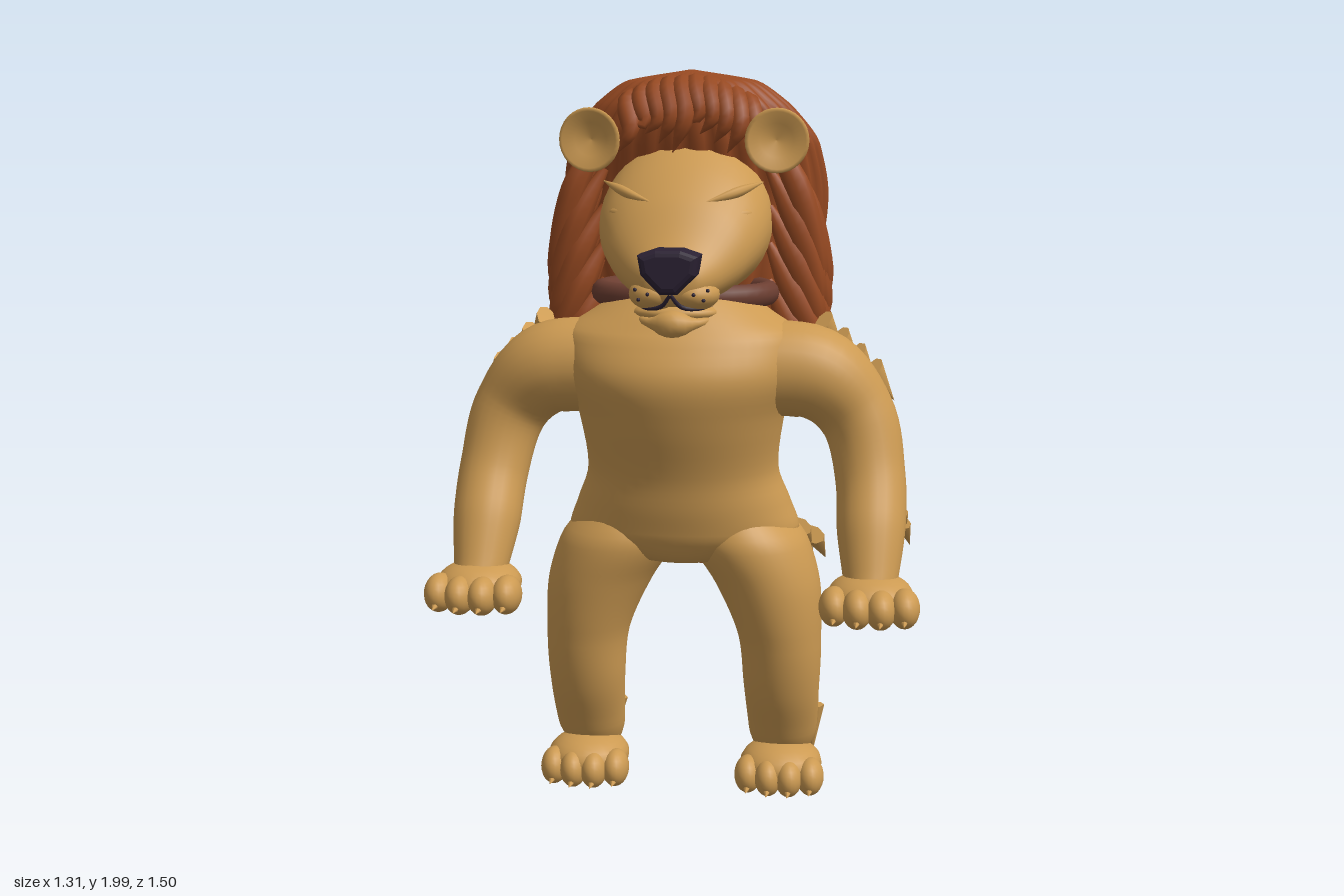
import * as THREE from 'three';
import { mergeVertices } from 'three/addons/utils/BufferGeometryUtils.js';

const V = (x, y, z) => new THREE.Vector3(x, y, z);
const mat = (name, color) => {
  const m = new THREE.MeshStandardMaterial({ color });
  m.name = name;
  return m;
};

// Smooth skin through elliptical sections [x, y, z, rx, r2], rising along y or z
function loft(sections, { axis = 'y', n = 40, rings = 40, ridge = () => 1 } = {}) {
  const centre = new THREE.CatmullRomCurve3(sections.map(s => V(s[0], s[1], s[2])));
  const radius = new THREE.CatmullRomCurve3(sections.map(s => V(s[3], s[4], 0)));
  const pos = [], index = [];
  for (let i = 0; i <= rings; i++) {
    const c = centre.getPoint(i / rings), r = radius.getPoint(i / rings);
    for (let j = 0; j < n; j++) {
      const a = (j / n) * Math.PI * 2, k = ridge(a);
      const u = Math.cos(a) * Math.max(r.x, 0.001) * k, v = Math.sin(a) * Math.max(r.y, 0.001) * k;
      if (axis === 'y') pos.push(c.x + u, c.y, c.z - v);
      else pos.push(c.x + u, c.y + v, c.z);
      if (i < rings) {
        const p = i * n + j, q = i * n + (j + 1) % n;
        index.push(p, q, p + n, q, q + n, p + n);
      }
    }
  }
  const g = new THREE.BufferGeometry();
  g.setAttribute('position', new THREE.Float32BufferAttribute(pos, 3));
  g.setIndex(index);
  g.computeVertexNormals();
  return g;
}

// Tube through points whose radius follows a list of values
function sweep(points, radii, segs = 20, sides = 12) {
  const curve = new THREE.CatmullRomCurve3(points.map(p => V(...p)));
  const radius = new THREE.CatmullRomCurve3(radii.map(r => V(r, 0, 0)));
  let g = new THREE.TubeGeometry(curve, segs, 1, sides);
  const p = g.attributes.position, v = V(0, 0, 0);
  for (let i = 0; i < p.count; i++) {
    const t = Math.floor(i / (sides + 1)) / segs, c = curve.getPointAt(t);
    const r = Math.max(radius.getPoint(t).x, 0.0008);
    v.fromBufferAttribute(p, i).sub(c).multiplyScalar(r).add(c);
    p.setXYZ(i, v.x, v.y, v.z);
  }
  g.deleteAttribute('uv');
  g.deleteAttribute('normal');
  g = mergeVertices(g, 1e-5);
  g.computeVertexNormals();
  return g;
}

export function createModel() {
  const root = new THREE.Group();
  root.name = 'lion';
  const fur = mat('golden fur', 0xcc9a52), mane = mat('mane russet', 0x984a22);
  const dark = mat('nose black', 0x2b2133), brown = mat('dark brown', 0x6c3e31);
  const orange = mat('tail orange', 0xd8693a);

  const add = (name, geo, m = fur) => {
    const mesh = new THREE.Mesh(geo, m);
    mesh.name = name;
    root.add(mesh);
    return mesh;
  };
  const ball = (name, p, r, m = fur) => {
    const b = add(name, new THREE.SphereGeometry(1, 20, 14), m);
    b.position.set(...p);
    b.scale.set(...r);
    return b;
  };
  const spike = (name, p, dir, len, r, flat = 0.6) => {
    const c = add(name, new THREE.ConeGeometry(r, len, 8));
    const d = V(...dir).normalize();
    c.quaternion.setFromUnitVectors(V(0, 1, 0), d);
    c.position.set(...p).addScaledVector(d, len / 2);
    c.scale.z = flat;
  };

  // Torso and head
  add('torso', loft([
    [0, 0.65, 0.335, 0.01, 0.01], [0, 0.68, 0.335, 0.17, 0.14], [0, 0.75, 0.33, 0.32, 0.19],
    [0, 0.83, 0.335, 0.295, 0.205], [0, 0.93, 0.355, 0.262, 0.205], [0, 1.08, 0.385, 0.28, 0.225],
    [0, 1.2, 0.4, 0.32, 0.23], [0, 1.3, 0.385, 0.32, 0.2], [0, 1.36, 0.37, 0.24, 0.17],
    [0, 1.42, 0.35, 0.15, 0.13], [0, 1.46, 0.35, 0.01, 0.01]], { n: 48, rings: 50 }));
  add('head', loft([
    [0, 1.6, 0.08, 0.01, 0.01], [0, 1.6, 0.15, 0.2, 0.18], [0, 1.59, 0.27, 0.235, 0.215],
    [0, 1.565, 0.37, 0.225, 0.18], [0, 1.52, 0.46, 0.185, 0.14], [0, 1.47, 0.54, 0.12, 0.085],
    [0, 1.455, 0.59, 0.07, 0.05], [0, 1.455, 0.605, 0.005, 0.005]], { axis: 'z' }));
  ball('chin', [0, 1.368, 0.49], [0.115, 0.03, 0.075]);
  add('lowerLip', sweep([[-0.12, 1.36, 0.47], [-0.06, 1.345, 0.55], [0.06, 1.345, 0.55], [0.12, 1.36, 0.47]], [0.004, 0.014, 0.014, 0.004]));
  const collar = add('collar', new THREE.TorusGeometry(0.22, 0.03, 12, 40), brown);
  collar.rotation.x = Math.PI / 2;
  collar.position.set(0, 1.4, 0.31);
  collar.scale.set(1.03, 0.72, 1.1);

  // Nose: bevelled shield
  const shield = new THREE.Shape([[-0.06, 0.035], [-0.03, 0.045], [0.03, 0.045], [0.06, 0.035],
    [0.055, 0.005], [0.015, -0.035], [-0.015, -0.035], [-0.055, 0.005]].map(p => new THREE.Vector2(...p)));
  add('nose', new THREE.ExtrudeGeometry(shield, {
    depth: 0.06, bevelSize: 0.018, bevelThickness: 0.022, bevelSegments: 3 }), dark).position.set(0, 1.482, 0.575);

  // Mane: ridged shell, fringe and side locks
  add('maneShell', loft([
    [0, 1.03, 0.1, 0.06, 0.045], [0, 1.12, 0.105, 0.17, 0.095], [0, 1.25, 0.095, 0.27, 0.145],
    [0, 1.45, 0.08, 0.345, 0.19], [0, 1.65, 0.08, 0.37, 0.2], [0, 1.8, 0.115, 0.345, 0.205],
    [0, 1.9, 0.145, 0.27, 0.185], [0, 1.965, 0.16, 0.18, 0.13], [0, 1.995, 0.17, 0.005, 0.005]],
  { n: 160, rings: 50, ridge: a => 0.97 + 0.045 * Math.abs(Math.sin(a * 16)) }), mane);
  const base = add('maneUnderside', new THREE.CircleGeometry(1, 24), mane);
  base.rotation.x = Math.PI / 2;
  base.scale.set(0.06, 0.045, 1);
  base.position.set(0, 1.031, 0.1);
  for (let k = 0; k < 10; k++) {
    const x = -0.16 + 0.037 * k, tip = 1.775 + 0.025 * ((k * 3) % 4);
    const drop = 1.6 * x * x;
    add('fringeLock', sweep([[x * 0.7, 1.972 - drop, 0.18], [x, 1.945 - drop, 0.28],
      [x + 0.015, 1.875 - drop, 0.325], [x - 0.02, tip, 0.325]], [0.008, 0.03, 0.028, 0.001], 14, 8), mane);
  }

  // Tail and its split, faceted tuft
  add('tail', sweep([[0.02, 0.71, 0.11], [0.035, 0.65, -0.05], [0.038, 0.58, -0.25], [0.015, 0.5, -0.45]],
    [0.052, 0.052, 0.052, 0.05], 20, 16)).material = fur;
  ball('tailRoot', [0.02, 0.71, 0.11], [0.052, 0.052, 0.05]);
  const tuftPart = (name, m, stations) => {
    const pos = [], idx = [];
    stations.forEach(([z, y, x0, x1, h], i) => {
      const xm = x0 + (x1 - x0) * 0.35;
      [[x0, y - h], [xm, y - h], [x1, y], [xm, y + h], [x0, y + h]].forEach(([x, yy]) => pos.push(x, yy, z));
      if (i) for (let j = 0; j < 5; j++) {
        const a = (i - 1) * 5 + j, b = (i - 1) * 5 + (j + 1) % 5;
        idx.push(a, a + 5, b, b, a + 5, b + 5);
      }
    });
    const end = (stations.length - 1) * 5;
    for (let j = 1; j < 4; j++) idx.push(0, j, j + 1, end, end + j + 1, end + j);
    let g = new THREE.BufferGeometry();
    g.setAttribute('position', new THREE.Float32BufferAttribute(pos, 3));
    g.setIndex(idx);
    // mirrored parts run the other way round
    if (stations[1][3] < stations[1][2]) for (let i = 0; i < idx.length; i += 3) {
      g.index.setX(i, idx[i + 1]);
      g.index.setX(i + 1, idx[i]);
    }
    g = g.toNonIndexed();
    g.computeVertexNormals();
    add(name, g, m);
  };
  for (const s of [1, -1]) {
    tuftPart('tailTuftSide', orange, [[-0.42, 0.5, 0.015 * s, 0.065 * s, 0.058], [-0.58, 0.46, 0.035 * s, 0.14 * s, 0.07], [-0.75, 0.4, 0.026 * s, 0.034 * s, 0.003]]);
    tuftPart('tailTuftCore', brown, [[-0.42, 0.5, 0, 0.03 * s, 0.055], [-0.58, 0.46, 0, 0.05 * s, 0.064], [-0.74, 0.402, 0.008 * s, 0.03 * s, 0.003]]);
  }

  for (const s of [1, -1]) {
    // Limbs
    add('leg', loft([
      [0.27, 0.06, 0.27, 0.06, 0.05], [0.275, 0.15, 0.29, 0.095, 0.092], [0.275, 0.3, 0.345, 0.105, 0.1],
      [0.27, 0.45, 0.355, 0.115, 0.125], [0.235, 0.6, 0.345, 0.145, 0.16], [0.18, 0.72, 0.335, 0.165, 0.18],
      [0.14, 0.84, 0.33, 0.09, 0.13]].map(a => [a[0] * s, ...a.slice(1)])));
    add('arm', sweep([[0.18, 1.21, 0.4], [0.37, 1.19, 0.385], [0.475, 1.08, 0.375], [0.515, 0.92, 0.42],
      [0.522, 0.78, 0.5], [0.525, 0.66, 0.57]].map(p => [p[0] * s, p[1], p[2]]),
    [0.13, 0.128, 0.105, 0.095, 0.092, 0.07], 36, 24));

    // Paws with toes and claws
    ball('hand', [0.525 * s, 0.635, 0.58], [0.115, 0.065, 0.12]);
    ball('foot', [0.275 * s, 0.075, 0.34], [0.115, 0.065, 0.12]);
    for (let k = 0; k < 4; k++) {
      const o = (k - 1.5) * 0.058, back = Math.abs(k - 1.5) > 1 ? 0.02 : 0;
      ball('finger', [(0.525 + o * 1.05) * s, 0.625, 0.67 - back], [0.04, 0.052, 0.062]);
      spike('fingerClaw', [(0.525 + o * 1.05) * s, 0.605, 0.7 - back], [0, -0.15, 1], 0.05, 0.016, 1);
      ball('toe', [(0.275 + o) * s, 0.058, 0.425 - back], [0.038, 0.052, 0.058]);
      spike('toeClaw', [(0.275 + o) * s, 0.035, 0.45 - back], [0, -0.15, 1], 0.05, 0.016, 1);
    }

    // Dished ear
    const ear = add('ear', new THREE.LatheGeometry([[0, -0.025], [0.05, -0.022], [0.08, 0], [0.086, 0.014],
      [0.076, 0.022], [0.045, 0.004], [0, -0.004]].map(p => new THREE.Vector2(...p)), 32));
    ear.rotation.set(Math.PI / 2, 0, -0.15 * s);
    ear.position.set(0.25 * s, 1.81, 0.345);

    // Face details
    const eye = ball('eyelid', [0.145 * s, 1.612, 0.425], [0.06, 0.021, 0.018]);
    eye.rotation.set(0, 0.6 * s, 0.15 * s);
    add('brow', sweep([[0.075 * s, 1.652, 0.452], [0.14 * s, 1.672, 0.415], [0.215 * s, 1.7, 0.345]], [0.003, 0.014, 0.002], 14, 8));
    ball('cheek', [0.052 * s, 1.42, 0.525], [0.068, 0.045, 0.075]);
    add('mouthLine', sweep([[0, 1.425, 0.603], [0.025 * s, 1.393, 0.588], [0.065 * s, 1.385, 0.567], [0.1 * s, 1.39, 0.53]], [0.005, 0.006, 0.005, 0.002], 12, 6), dark);
    for (const [x, y, z] of [[0.06, 1.425, 0.598], [0.085, 1.41, 0.59], [0.095, 1.435, 0.582]])
      ball('whiskerDot', [x * s, y, z], [0.005, 0.005, 0.005], dark);

    // Side locks of the mane
    for (let k = 0; k < 9; k++) {
      const b = (k % 2) * 0.05;
      add('sideLock', sweep([[0.225 + b * 0.4, 1.83 - 0.05 * k, 0.28 - b], [0.305 + b * 0.4, 1.68 - 0.05 * k, 0.3 - b],
        [0.35 + b * 0.3, 1.5 - 0.04 * k, 0.28 - b], [0.355 - 0.008 * k + b * 0.4, 1.32 - 0.028 * k, 0.24 - b]]
        .map(p => [p[0] * s, p[1], p[2]]), [0.012, 0.036, 0.034, 0.001], 18, 8), mane);
    }

    // Fur tufts on shoulders, elbows, hips and heels
    for (let k = 0; k < 4; k++) {
      spike('shoulderTuft', [(0.38 + 0.045 * k) * s, 1.33 - 0.045 * k, 0.35 - 0.018 * k], [0.45 * s, -0.75, -0.35], 0.12, 0.045);
      if (k < 3) {
        spike('elbowTuft', [(0.585 + 0.008 * k) * s, 0.87 - 0.035 * k, 0.46 - 0.015 * k], [0.25 * s, -0.8, -0.5], 0.09, 0.033);
        spike('hipTuft', [(0.27 + 0.035 * k) * s, 0.74 - 0.035 * k, 0.18 - 0.05 * k], [0.25 * s, -0.65, -0.6], 0.13, 0.045);
        spike('heelTuft', [(0.235 + 0.055 * k) * s, 0.175, 0.145], [0.05 * s, -1, 0], 0.145, 0.04, 0.75);
      }
    }
  }
  return root;
}
